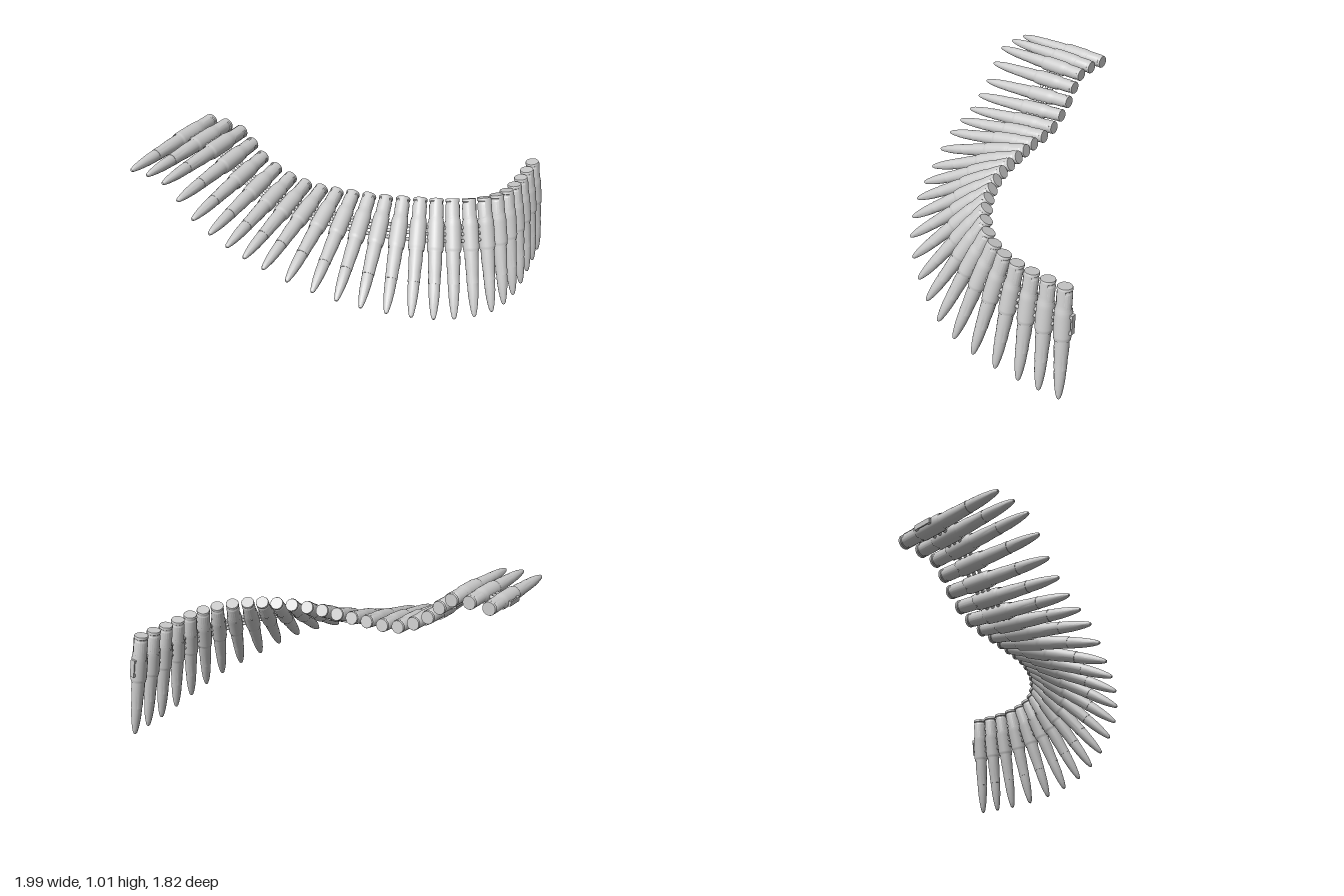
import * as THREE from 'three';
import { toCreasedNormals } from 'three/addons/utils/BufferGeometryUtils.js';
import { ParametricGeometry } from 'three/addons/geometries/ParametricGeometry.js';

const COUNT = 25;
const LENGTH = 0.705;
const HINGE = 0.21; // distance from case base to hinge line

const material = new THREE.MeshStandardMaterial({ color: 0xcccccc });
const sheet = new THREE.MeshStandardMaterial({ color: 0xcccccc, side: THREE.DoubleSide });

const curve = (pts) => new THREE.CatmullRomCurve3(
  pts.map((p) => new THREE.Vector3(...p)), false, 'catmullrom', 0.5);

// Paths followed by the case bases and the bullet tips (every second round)
const basePath = curve([
  [-0.94, 0.97, 0.2], [-0.7, 0.965, 0.2], [-0.555, 0.825, 0.19], [-0.365, 0.725, 0.165],
  [-0.145, 0.71, 0.15], [0.055, 0.725, 0.11], [0.255, 0.74, 0.06], [0.44, 0.75, -0.02],
  [0.6, 0.75, -0.12], [0.74, 0.735, -0.257], [0.81, 0.715, -0.43], [0.82, 0.705, -0.625],
  [0.81, 0.71, -0.83]]);
const tipPath = curve([
  [-0.94, 0.965, 0.9], [-0.7, 0.96, 0.9], [-0.52, 0.775, 0.885], [-0.31, 0.65, 0.86],
  [-0.08, 0.575, 0.83], [0.19, 0.465, 0.75], [0.44, 0.39, 0.64], [0.675, 0.3, 0.476],
  [0.84, 0.19, 0.246], [0.96, 0.1, -0.03], [0.98, 0.04, -0.32], [0.95, 0.01, -0.625],
  [0.915, 0.015, -0.88]]);

// Turned shapes of the case and the bullet
function lathe(profile) {
  const pts = profile.map(([r, y]) => new THREE.Vector2(r, y));
  return toCreasedNormals(new THREE.LatheGeometry(pts, 20), 0.6);
}
const caseGeo = lathe([
  [0, 0], [0.04, 0], [0.042, 0.004], [0.042, 0.016], [0.037, 0.02], [0.037, 0.028],
  [0.042, 0.036], [0.0405, 0.38], [0.036, 0.45], [0.0355, 0.5], [0.033, 0.5]]);
const bulletGeo = lathe([
  [0.0335, 0.49], [0.033, 0.53], [0.0305, 0.575], [0.026, 0.62], [0.02, 0.66],
  [0.0135, 0.69], [0.008, 0.701], [0, LENGTH]]);

// Sheet metal link: a narrow tongue at the base that widens into a full collar
const linkGeo = new ParametricGeometry((u, v, target) => {
  const y = 0.012 + v * 0.303;
  const flare = THREE.MathUtils.smoothstep(y, 0.1, 0.155);
  const half = THREE.MathUtils.lerp(0.6, Math.PI, flare);
  const a = (u * 2 - 1) * half;
  const lip = THREE.MathUtils.smoothstep(y, 0.29, 0.315) * 0.004;
  const r = 0.044 + 0.005 * flare - lip;
  target.set(Math.sin(a) * r, y, Math.cos(a) * r);
}, 28, 22);

// Open hook left on each end of the belt
function makeHookGeometry() {
  const rect = (Type, x0, y0, x1, y1) => {
    const s = new Type();
    s.moveTo(x0, y0);
    s.lineTo(x1, y0);
    s.lineTo(x1, y1);
    s.lineTo(x0, y1);
    s.closePath();
    return s;
  };
  const outer = rect(THREE.Shape, 0.03, 0.15, 0.062, 0.265);
  outer.holes.push(rect(THREE.Path, 0.036, 0.17, 0.054, 0.245));
  return new THREE.ExtrudeGeometry(outer, { depth: 0.03, bevelEnabled: false })
    .translate(0, 0, -0.015);
}
const hookGeo = makeHookGeometry();
const barGeo = toCreasedNormals(new THREE.CylinderGeometry(0.011, 0.011, 1, 10), 0.7);

function part(name, geometry, mat = material) {
  const mesh = new THREE.Mesh(geometry, mat);
  mesh.name = name;
  return mesh;
}

// Base point and axis of a round
function placement(i) {
  const t = i / (COUNT - 1);
  const base = basePath.getPoint(t);
  const axis = tipPath.getPoint(t).sub(base).normalize();
  return { base, axis, at: (s) => base.clone().addScaledVector(axis, s) };
}

export function createModel() {
  const model = new THREE.Group();
  model.name = 'cartridgeBelt';
  const places = Array.from({ length: COUNT }, (_, i) => placement(i));

  places.forEach((p, i) => {
    // Frame: y along the round, z to the outer side of the belt
    const next = places[Math.min(i + 1, COUNT - 1)].at(HINGE);
    const along = next.sub(places[Math.max(i - 1, 0)].at(HINGE));
    const out = new THREE.Vector3().crossVectors(p.axis, along).normalize();
    const side = new THREE.Vector3().crossVectors(p.axis, out);

    const round = new THREE.Group();
    round.name = 'cartridge';
    round.position.copy(p.base);
    round.quaternion.setFromRotationMatrix(new THREE.Matrix4().makeBasis(side, p.axis, out));
    round.add(part('case', caseGeo), part('bullet', bulletGeo), part('link', linkGeo, sheet));

    if (i === 0 || i === COUNT - 1) {
      const hook = part('endHook', hookGeo);
      if (i > 0) hook.rotation.y = Math.PI;
      round.add(hook);
    }
    model.add(round);

    // Hinge bars joining this link to the next
    if (i < COUNT - 1) {
      for (const s of [0.17, 0.21, 0.25]) {
        const a = p.at(s);
        const b = places[i + 1].at(s);
        const bar = part('hingeBar', barGeo);
        bar.position.copy(a).lerp(b, 0.5);
        bar.scale.y = a.distanceTo(b);
        bar.quaternion.setFromUnitVectors(new THREE.Vector3(0, 1, 0), b.sub(a).normalize());
        model.add(bar);
      }
    }
  });
  return model;
}
